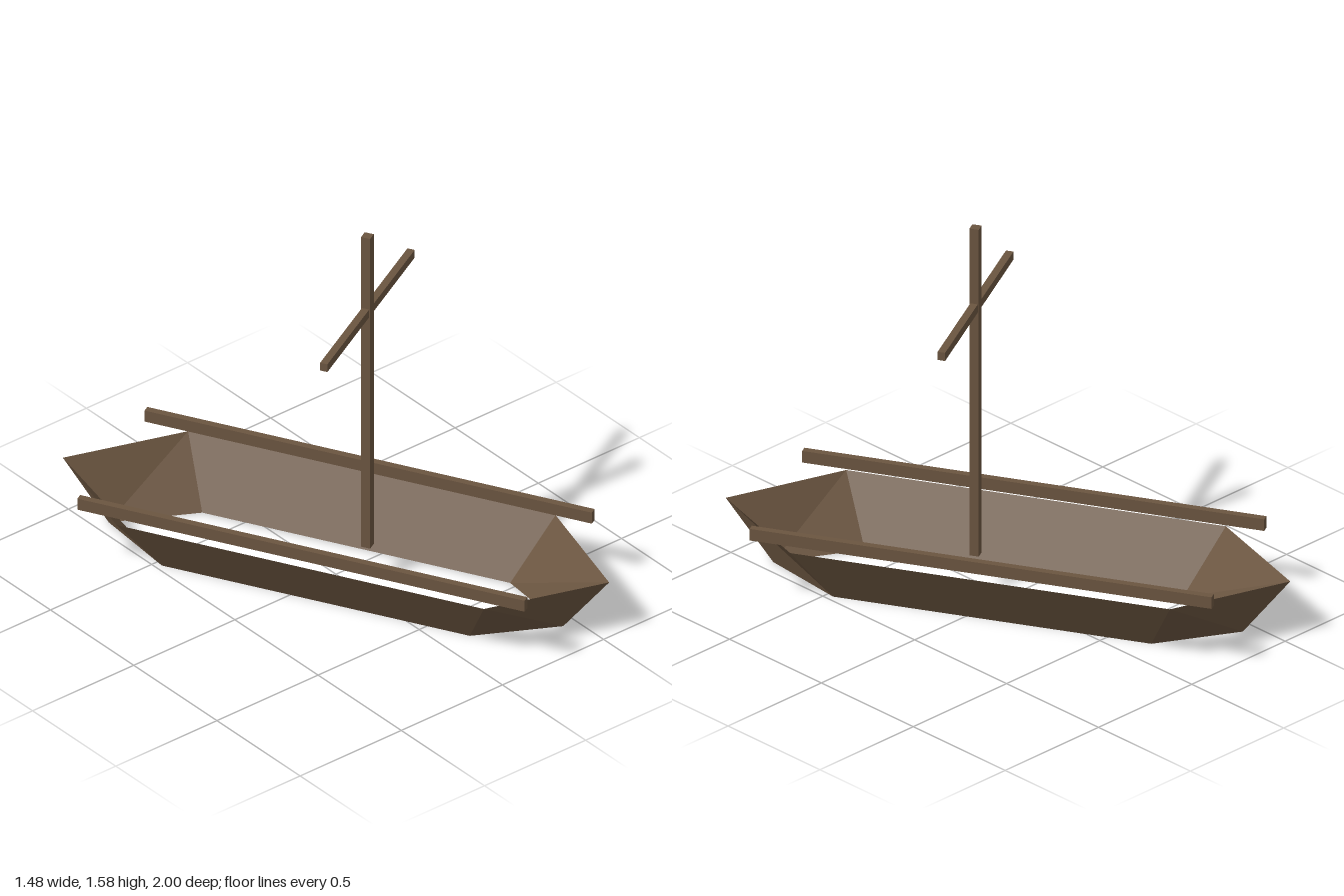
import * as THREE from 'three';

export function createModel() {
  const model = new THREE.Group();
  model.name = 'boat';
  const wood = new THREE.MeshStandardMaterial({ color: 0x6b5540, flatShading: true });
  wood.name = 'brown wood';
  const hullWood = wood.clone();
  hullWood.name = 'brown wood, thin planks';
  hullWood.side = THREE.DoubleSide;

  // The boat lies diagonally: everything is built along z, then turned
  const boat = new THREE.Group();
  boat.name = 'turnedBoat';
  boat.rotation.y = THREE.MathUtils.degToRad(27.9);
  model.add(boat);

  // Hull: a flaring six-sided wall, open above and below
  const ring = (halfWidth, shoulder, tip, y) => [
    [-halfWidth, y, shoulder], [0, y, tip], [halfWidth, y, shoulder],
    [halfWidth, y, -shoulder], [0, y, -tip], [-halfWidth, y, -shoulder],
  ];
  const low = ring(0.2, 0.637, 0.94, 0);
  const high = ring(0.355, 0.76, 1.13, 0.247);
  const points = [];
  for (let i = 0; i < 6; i++) {
    const j = (i + 1) % 6;
    points.push(...low[i], ...low[j], ...high[i], ...high[i], ...low[j], ...high[j]);
  }
  const hullGeometry = new THREE.BufferGeometry();
  hullGeometry.setAttribute('position', new THREE.Float32BufferAttribute(points, 3));
  hullGeometry.computeVertexNormals();
  const hull = new THREE.Mesh(hullGeometry, hullWood);
  hull.name = 'hull';
  boat.add(hull);

  // Square-cut timbers
  const timber = (name, size, position) => {
    const mesh = new THREE.Mesh(new THREE.BoxGeometry(...size), wood);
    mesh.name = name;
    mesh.position.set(...position);
    boat.add(mesh);
  };
  timber('leftRail', [0.028, 0.05, 1.85], [0.333, 0.296, 0]);
  timber('rightRail', [0.028, 0.05, 1.85], [-0.333, 0.296, 0]);
  const mastBottom = 0.165, mastTop = 1.577;
  timber('mast', [0.037, mastTop - mastBottom, 0.037], [0, (mastBottom + mastTop) / 2, 0.13]);
  timber('yard', [0.866, 0.035, 0.03], [0, 1.237, 0.13]);

  return model;
}
